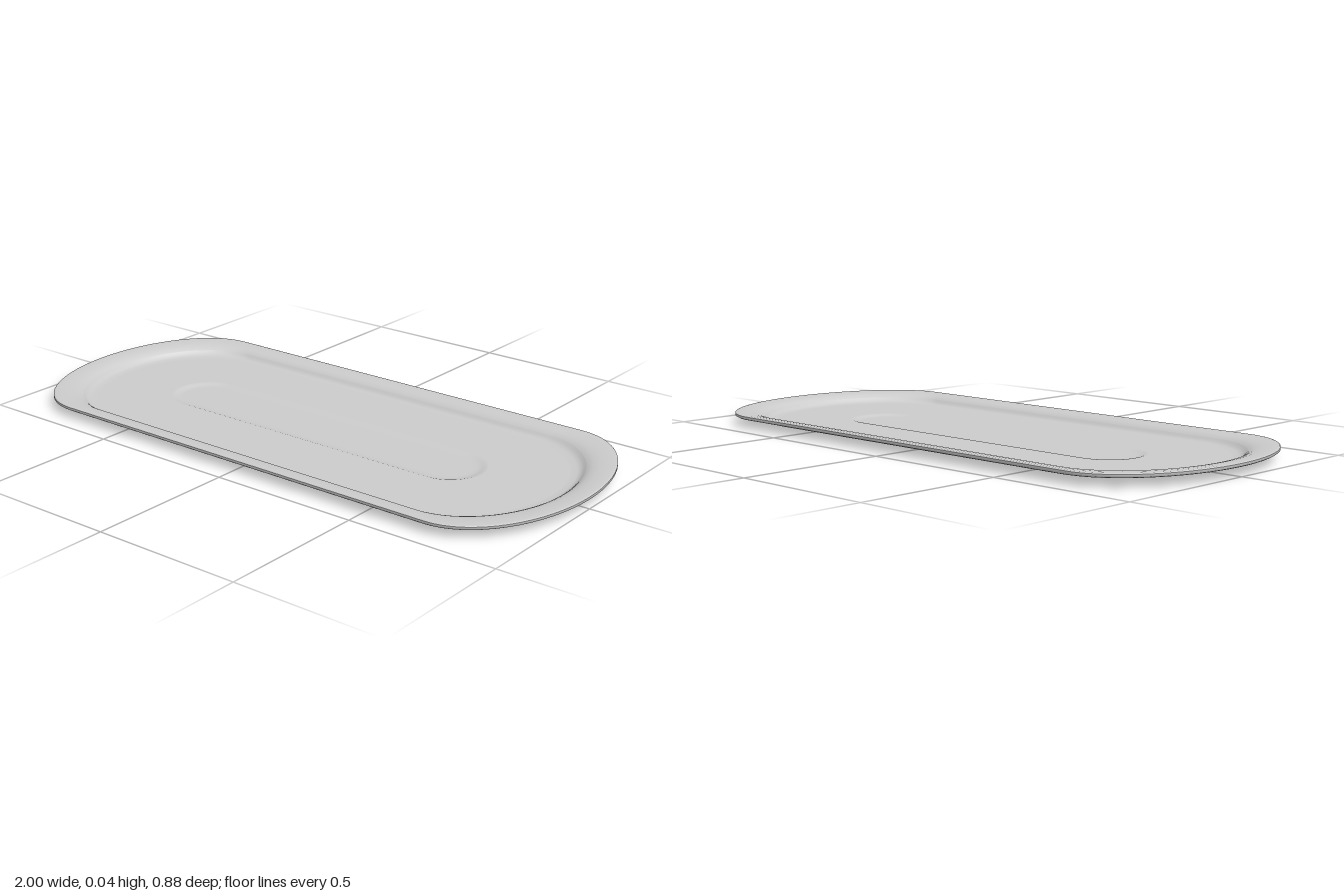
import * as THREE from 'three';

const STEPS = 32; // points along each rounded end

// One closed outline: straight long sides joined by half-ellipse ends.
function outline({ s, a, b, y }) {
  const pts = [];
  for (const side of [1, -1]) {
    for (let k = 0; k <= STEPS; k++) {
      const t = -Math.PI / 2 + (Math.PI * k) / STEPS;
      pts.push(side * (s + a * Math.cos(t)), y, side * b * Math.sin(t));
    }
  }
  return pts;
}

// Tray outline at half depth b and height y; the ends shrink along with it.
const body = (b, y) => ({ s: 0.72 - 1.2 * (0.44 - b), a: 0.28, b, y });
// Pill-shaped outline of the central foot.
const pill = (b, y) => ({ s: 0.5, a: b, b, y });

// Smooth skin through a run of outlines.
function skin(rings) {
  const n = 2 * (STEPS + 1);
  const index = [];
  for (let i = 0; i < rings.length - 1; i++) {
    for (let j = 0; j < n; j++) {
      const k = (j + 1) % n;
      const p = i * n + j, q = i * n + k;
      index.push(p, p + n, q, q, p + n, q + n);
    }
  }
  const geo = new THREE.BufferGeometry();
  geo.setAttribute('position', new THREE.Float32BufferAttribute(rings.flatMap(outline), 3));
  geo.setIndex(index);
  geo.computeVertexNormals();
  return geo;
}

export function createModel() {
  const tray = new THREE.Group();
  tray.name = 'tray';
  const material = new THREE.MeshStandardMaterial({ color: 0xcccccc, side: THREE.DoubleSide });
  const add = (name, rings) => {
    const mesh = new THREE.Mesh(skin(rings), material);
    mesh.name = name;
    tray.add(mesh);
  };

  // Underside, from the centre outwards
  add('footBase', [pill(0, 0), pill(0.107, 0)]);
  add('footEdge', [pill(0.107, 0), pill(0.113, 0.001), pill(0.117, 0.004), pill(0.119, 0.007)]);
  add('underside', [pill(0.119, 0.007), body(0.35, 0.007)]);
  add('outerWall', [
    body(0.35, 0.007), body(0.358, 0.008), body(0.362, 0.011), body(0.364, 0.016),
    body(0.367, 0.02), body(0.373, 0.0235), body(0.382, 0.025),
  ]);
  add('rimUnderside', [body(0.382, 0.025), body(0.428, 0.027)]);

  // Rim edge and top
  add('rimEdge', [body(0.428, 0.027), body(0.436, 0.028), body(0.44, 0.031), body(0.44, 0.039)]);
  add('rimTop', [
    body(0.44, 0.039), body(0.4385, 0.041), body(0.435, 0.042), body(0.42, 0.042),
    body(0.4, 0.04), body(0.385, 0.036), body(0.376, 0.031), body(0.37, 0.026),
  ]);

  // Inside of the tray, with a shallow recess over the foot
  add('innerWall', [
    body(0.37, 0.026), body(0.364, 0.019), body(0.358, 0.0135), body(0.35, 0.0105), body(0.335, 0.0095),
  ]);
  add('floor', [body(0.335, 0.0095), pill(0.125, 0.0095)]);
  add('recess', [
    pill(0.125, 0.0095), pill(0.118, 0.009), pill(0.108, 0.006), pill(0.1, 0.004),
    pill(0.09, 0.003), pill(0.075, 0.003), pill(0, 0.003),
  ]);
  return tray;
}
